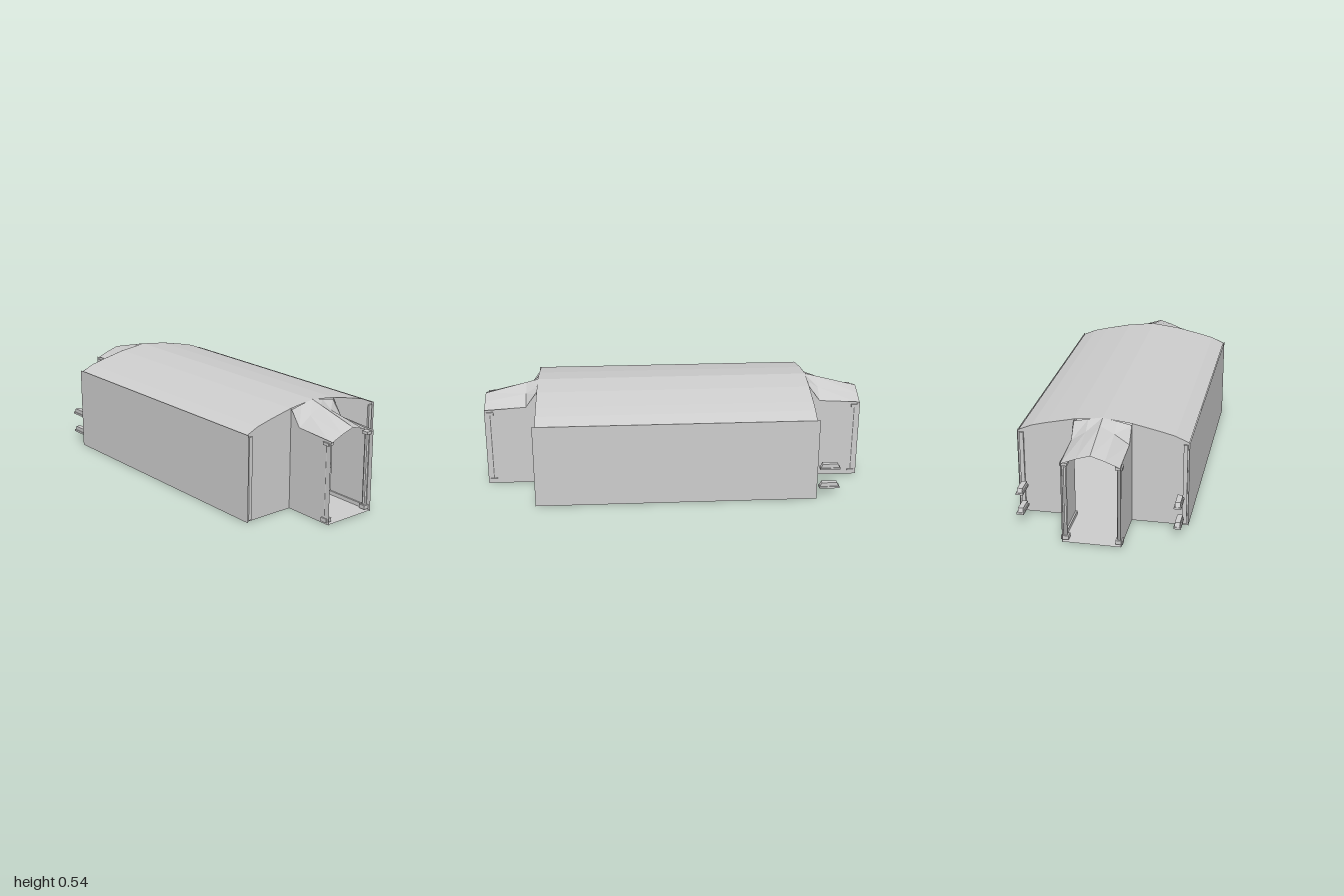
import * as THREE from 'three';

const plaster = new THREE.MeshStandardMaterial({ color: 0xcccccc, side: THREE.DoubleSide, flatShading: true });
plaster.name = 'grey plaster';

const polygon = (points) => new THREE.Shape(points.map(([x, y]) => new THREE.Vector2(x, y)));

function add(parent, name, geometry, x = 0, y = 0, z = 0) {
  const mesh = new THREE.Mesh(geometry, plaster);
  mesh.name = name;
  mesh.position.set(x, y, z);
  parent.add(mesh);
  return mesh;
}

// Open surface through equally long cross-sections of [x, y, z] points
function loft(sections) {
  const verts = [];
  for (let i = 0; i < sections.length - 1; i++) {
    for (let j = 0; j < sections[i].length - 1; j++) {
      const a = sections[i][j], b = sections[i][j + 1];
      const c = sections[i + 1][j + 1], d = sections[i + 1][j];
      verts.push(...a, ...b, ...c, ...a, ...c, ...d);
    }
  }
  const g = new THREE.BufferGeometry();
  g.setAttribute('position', new THREE.Float32BufferAttribute(verts, 3));
  g.computeVertexNormals();
  return g;
}

// Mirrors a half profile, given from the centre outwards, into left-to-right order
const mirrored = (half) => [...half.slice(1).reverse().map(([x, y]) => [-x, y]), ...half];

const HALL_X = 0.426, HALL_Z = 0.72, PORCH_X = 0.143;
const ROOF = [[0, 0.54], [0.145, 0.522], [0.28, 0.493], [0.355, 0.474], [0.422, 0.444]];

// Porch, end wall and corner posts of one end
function makeEnd() {
  const end = new THREE.Group();

  // Sloping porch vault
  const vault = [
    [1.0, [[0, 0.468], [0.07, 0.446], [PORCH_X, 0.416]]],
    [0.78, [[0, 0.525], [0.07, 0.487], [PORCH_X, 0.437]]],
    [HALL_Z - 0.003, [[0, 0.541], [0.07, 0.528], [PORCH_X, 0.512]]],
  ];
  add(end, 'porchRoof', loft(vault.map(([z, half]) => mirrored(half).map(([x, y]) => [x, y, z]))));

  for (const side of [-1, 1]) {
    // Porch side wall, drawn in the z-y plane
    const wall = new THREE.ShapeGeometry(polygon(
      [[-HALL_Z, 0], [-1, 0], [-1, 0.426], [-0.78, 0.439], [-HALL_Z, 0.523]]));
    add(end, 'porchWall', wall.rotateY(Math.PI / 2), side * PORCH_X);
    add(end, 'porchBaseboard', new THREE.BoxGeometry(0.008, 0.02, 0.24), side * 0.138, 0.015, 0.84);

    // Column at the entrance
    const column = new THREE.Group();
    column.name = 'entranceColumn';
    column.position.set(side * 0.132, 0, 0.97);
    add(column, 'columnBase', new THREE.BoxGeometry(0.036, 0.02, 0.036), 0, 0.02);
    add(column, 'columnShaft', new THREE.CylinderGeometry(0.012, 0.012, 0.37, 8), 0, 0.215);
    add(column, 'columnCapital', new THREE.BoxGeometry(0.036, 0.015, 0.036), 0, 0.408);
    end.add(column);

    // End wall beside the porch
    const outline = [[0.143, 0], [HALL_X, 0], [HALL_X, 0.443], [0.355, 0.474], [0.28, 0.493], [0.143, 0.523]];
    add(end, 'endWall', new THREE.ShapeGeometry(polygon(outline.map(([x, y]) => [side * x, y]))), 0, 0, HALL_Z);

    // Corner post
    add(end, 'cornerPost', new THREE.BoxGeometry(0.02, 0.425, 0.014), side * 0.407, 0.222, HALL_Z + 0.003);
  }
  return end;
}

// Small ledge: thin plate carrying a tapered block
function makeLedge() {
  const ledge = new THREE.Group();
  ledge.name = 'ledge';
  add(ledge, 'ledgePlate', new THREE.BoxGeometry(0.036, 0.01, 0.106), 0, 0.005);
  const block = new THREE.ExtrudeGeometry(
    polygon([[-0.05, 0], [0.05, 0], [0.04, 0.021], [-0.04, 0.021]]), { depth: 0.026, bevelEnabled: false });
  add(ledge, 'ledgeBlock', block.translate(0, 0, -0.013).rotateY(Math.PI / 2), 0, 0.01);
  return ledge;
}

export function createModel() {
  const model = new THREE.Group();
  model.name = 'hall';

  // Hall roof
  const profile = mirrored(ROOF);
  add(model, 'hallRoof', loft([HALL_Z, -HALL_Z].map((z) => profile.map(([x, y]) => [x, y, z]))));

  // Cross-shaped floor
  const quarter = [[HALL_X, HALL_Z], [PORCH_X, HALL_Z], [PORCH_X, 1]];
  const right = [...quarter.map(([x, z]) => [x, -z]).reverse(), ...quarter];
  const plan = [...right, ...right.map(([x, z]) => [-x, -z])];
  add(model, 'floor', new THREE.ShapeGeometry(polygon(plan)).rotateX(-Math.PI / 2), 0, 0.004);

  // Long side walls, running slightly past the end walls
  for (const side of [-1, 1]) {
    const wall = new THREE.PlaneGeometry(1.47, 0.447).rotateY(side * Math.PI / 2);
    add(model, 'sideWall', wall, side * HALL_X, 0.2235);
    add(model, 'hallBaseboard', new THREE.BoxGeometry(0.01, 0.02, 1.42), side * 0.418, 0.015);
  }

  // The two matching ends
  const front = makeEnd();
  front.name = 'frontEnd';
  const back = makeEnd();
  back.name = 'backEnd';
  back.rotation.y = Math.PI;
  model.add(front, back);

  // Pairs of ledges behind the back wall
  for (const side of [-1, 1]) {
    for (const y of [0.048, 0.156]) {
      const ledge = makeLedge();
      ledge.position.set(side * 0.39, y, -0.805);
      model.add(ledge);
    }
  }
  return model;
}
